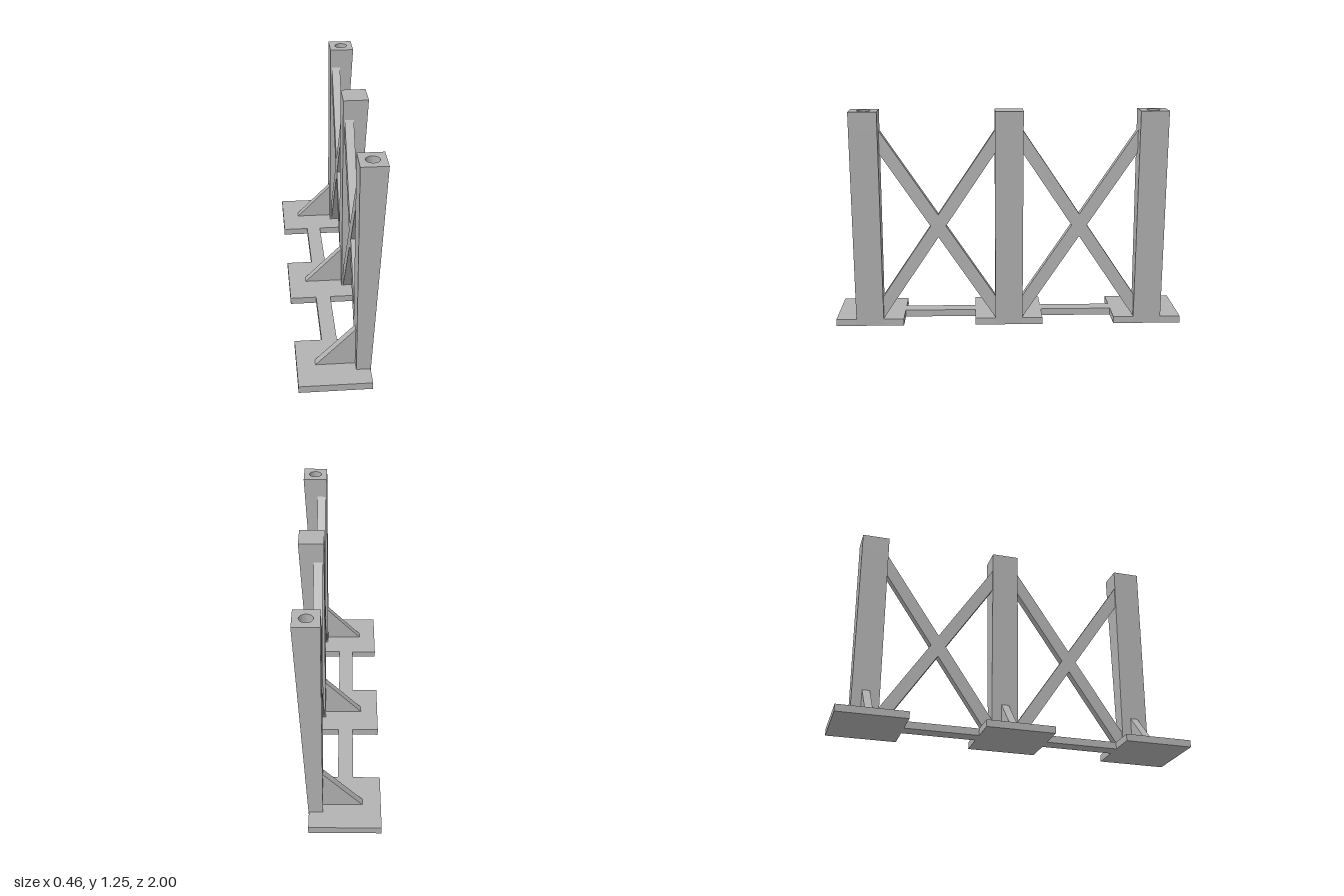
import * as THREE from 'three';
import { toCreasedNormals } from 'three/addons/utils/BufferGeometryUtils.js';

const PLATE_H = 0.04, POST_H = 1.25, SPACING = 0.805;
const POST_X0 = 0.085, POST_X1 = 0.226, POST_HALF = 0.079;
const HOLE_DEPTH = 0.1, PLATE_HALF = 0.195;

const polygon = (pts) => new THREE.Shape(pts.map(([x, y]) => new THREE.Vector2(x, y)));
const extrude = (shape, depth) =>
  new THREE.ExtrudeGeometry(shape, { depth, bevelEnabled: false, curveSegments: 24 });

// Square post section between two heights; its +x face leans outwards with height
function postSection(y0, y1, hole) {
  const shape = polygon([
    [POST_X0, -POST_HALF], [POST_X1, -POST_HALF], [POST_X1, POST_HALF], [POST_X0, POST_HALF],
  ]);
  if (hole) {
    const circle = new THREE.Path();
    circle.absarc((POST_X0 + POST_X1) / 2, 0, 0.037, 0, Math.PI * 2, true);
    shape.holes.push(circle);
  }
  const geo = extrude(shape, y1 - y0);
  geo.rotateX(-Math.PI / 2).translate(0, y0, 0);
  const p = geo.attributes.position;
  for (let i = 0; i < p.count; i++) {
    if (p.getX(i) > POST_X1 - 0.005) p.setX(i, 0.161 + (POST_X1 - 0.161) * (p.getY(i) / POST_H));
  }
  return toCreasedNormals(geo, 0.6);
}

// X-shaped brace outline in the z-y plane, extruded along x
function braceGeometry() {
  const w = SPACING / 2 - POST_HALF, h = 0.4825, t = 0.065;
  const n = t * w / h;
  const shape = polygon([
    [-w, -h - t], [0, -t], [w, -h - t], [w, -h + t], [n, 0], [w, h - t],
    [w, h + t], [0, t], [-w, h + t], [-w, h - t], [-n, 0], [-w, -h + t],
  ]);
  return extrude(shape, 0.05).rotateY(-Math.PI / 2).translate(0.144, 0.5875, 0);
}

export function createModel() {
  const model = new THREE.Group();
  model.name = 'bracedPostStand';
  const grey = new THREE.MeshStandardMaterial({ color: 0xb2b2b2 });
  grey.name = 'grey';

  const add = (parent, name, geo, x = 0, y = 0, z = 0) => {
    const mesh = new THREE.Mesh(geo, grey);
    mesh.name = name;
    mesh.position.set(x, y, z);
    parent.add(mesh);
  };

  // Three stations: foot plate, leaning post and triangular gusset
  const plate = new THREE.BoxGeometry(0.392, PLATE_H, PLATE_HALF * 2);
  const gusset = extrude(polygon([[-0.13, PLATE_H], [POST_X0, PLATE_H], [POST_X0, 0.26]]), 0.044);
  gusset.translate(0, 0, -0.022);
  const solidPost = postSection(0, POST_H, false);
  const lowerPost = postSection(0, POST_H - HOLE_DEPTH, false);
  const socket = postSection(POST_H - HOLE_DEPTH, POST_H, true);

  for (const i of [-1, 0, 1]) {
    const station = new THREE.Group();
    station.name = ['backStation', 'middleStation', 'frontStation'][i + 1];
    station.position.z = i * SPACING;
    add(station, 'footPlate', plate, -0.035, PLATE_H / 2);
    add(station, 'gusset', gusset);
    if (i === 0) {
      add(station, 'post', solidPost);
    } else {
      // End posts carry a round socket in the top
      add(station, 'post', lowerPost);
      add(station, 'postSocket', socket);
    }
    model.add(station);
  }

  // Ground strips and cross braces between stations
  const strip = new THREE.BoxGeometry(0.085, PLATE_H, SPACING - PLATE_HALF * 2);
  const brace = braceGeometry();
  for (const s of [-1, 1]) {
    const side = s < 0 ? 'back' : 'front';
    add(model, side + 'GroundStrip', strip, -0.037, PLATE_H / 2, s * SPACING / 2);
    add(model, side + 'CrossBrace', brace, 0, 0, s * SPACING / 2);
  }
  return model;
}
